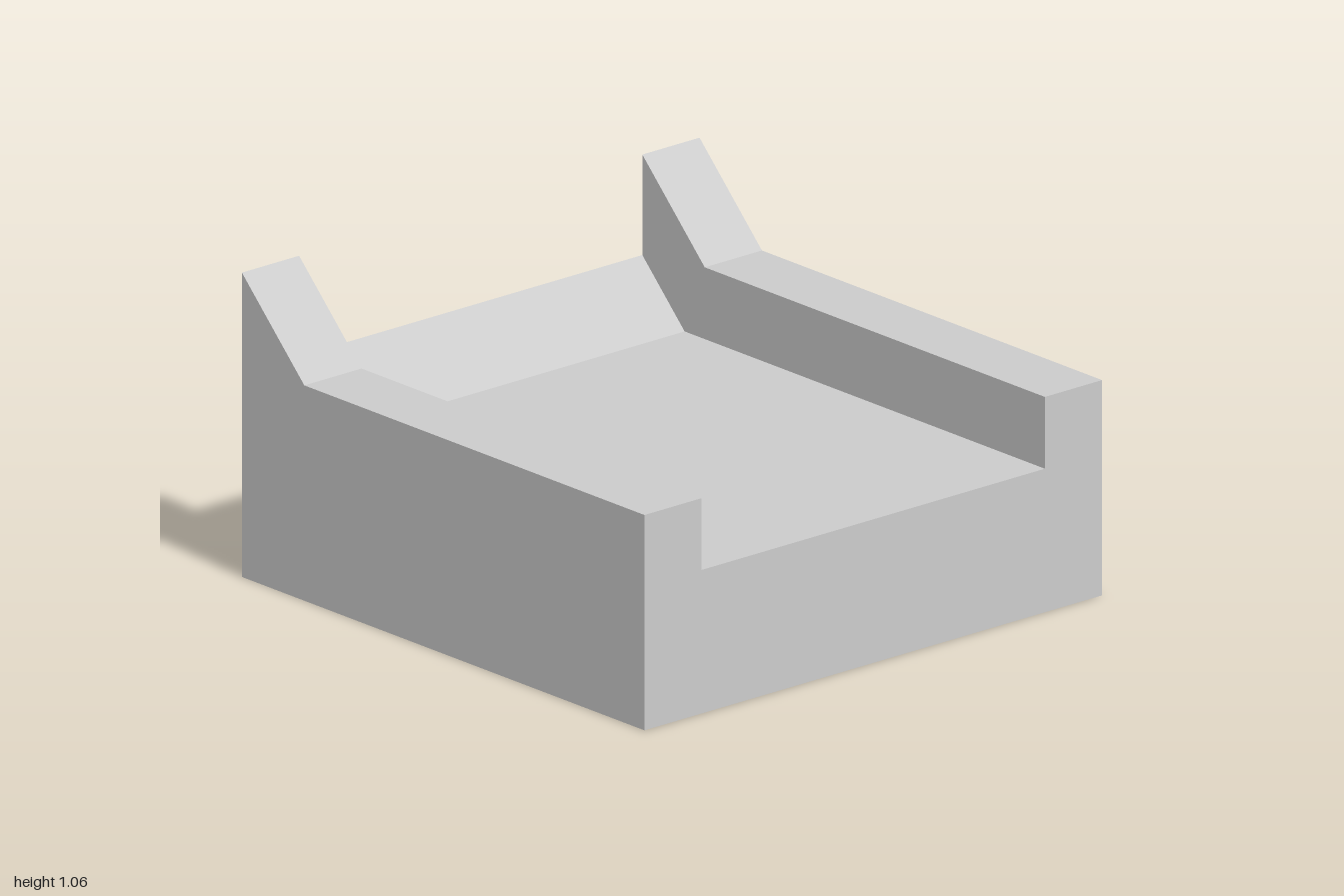
import * as THREE from 'three';

const INNER = 0.75, OUTER = 1;            // hollow side rail, inner and outer x
const BED = 0.5, RAIL = 0.75;             // bed and rail heights
const RAMP_Z = -0.69, PEAK = 1.06;        // rail ramp
const LIP_Z = -0.79, LIP = 0.71;          // bed ramp

const grey = new THREE.MeshStandardMaterial({ color: 0xcccccc, side: THREE.DoubleSide });
grey.name = 'grey';

// Flat panel across x, running from (y0, z0) to (y1, z1)
function sheet(x0, x1, y0, z0, y1, z1) {
  const g = new THREE.BufferGeometry();
  g.setAttribute('position', new THREE.Float32BufferAttribute(
    [x0, y0, z0, x1, y0, z0, x1, y1, z1, x0, y1, z1], 3));
  g.setIndex([0, 1, 2, 0, 2, 3]);
  g.computeVertexNormals();
  return g;
}

// Flat polygon from [x, y] points
function polygon(points) {
  return new THREE.ShapeGeometry(new THREE.Shape(points.map(([x, y]) => new THREE.Vector2(x, y))));
}

// Side profile of a rail at the given x, facing +x or -x
function railWall(x, facing) {
  const profile = [[1, 0], [-1, 0], [-1, PEAK], [RAMP_Z, RAIL], [1, RAIL]];
  return polygon(profile.map(([z, y]) => [-facing * z, y]))
    .rotateY(facing * Math.PI / 2)
    .translate(x, 0, 0);
}

export function createModel() {
  const model = new THREE.Group();
  model.name = 'openTray';
  const add = (parent, name, geometry) => {
    const mesh = new THREE.Mesh(geometry, grey);
    mesh.name = name;
    parent.add(mesh);
  };

  // Base, raised bed and the sloped lip on the bed; the back stays open
  add(model, 'base', sheet(-OUTER, OUTER, 0, -1, 0, 1));
  add(model, 'bed', sheet(-INNER, INNER, BED, 1, BED, -1));
  add(model, 'bedRamp', sheet(-INNER, INNER, BED, LIP_Z, LIP, -1));

  // Front panel, notched down to the bed
  add(model, 'frontPanel', polygon([
    [-OUTER, 0], [OUTER, 0], [OUTER, RAIL], [INNER, RAIL],
    [INNER, BED], [-INNER, BED], [-INNER, RAIL], [-OUTER, RAIL],
  ]).translate(0, 0, 1));

  // Hollow side rails with ramps rising at the back
  for (const side of [1, -1]) {
    const rail = new THREE.Group();
    rail.name = side > 0 ? 'leftRail' : 'rightRail';
    const x0 = side > 0 ? INNER : -OUTER;
    const x1 = side > 0 ? OUTER : -INNER;
    add(rail, 'outerWall', railWall(side * OUTER, side));
    add(rail, 'innerWall', railWall(side * INNER, -side));
    add(rail, 'railTop', sheet(x0, x1, RAIL, 1, RAIL, RAMP_Z));
    add(rail, 'railRamp', sheet(x0, x1, RAIL, RAMP_Z, PEAK, -1));
    model.add(rail);
  }
  return model;
}
